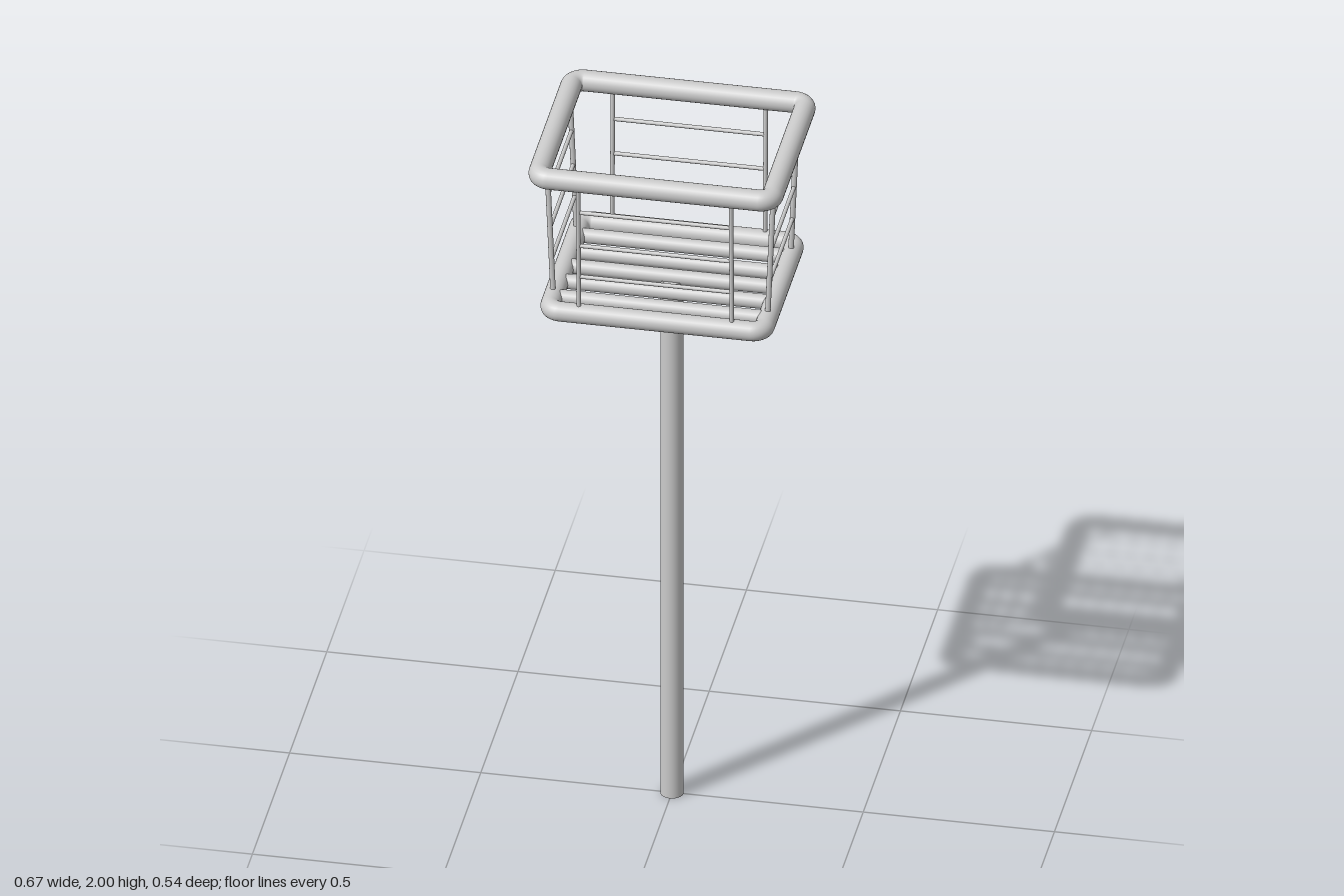
import * as THREE from 'three';

const material = new THREE.MeshStandardMaterial({ color: 0xcccccc });
const TOP = { x: 0.305, y: 1.972, z: 0.243, tube: 0.028 };
const BASE = { x: 0.28, y: 1.561, z: 0.222, tube: 0.026 };

function addMesh(parent, name, geometry) {
  const mesh = new THREE.Mesh(geometry, material);
  mesh.name = name;
  parent.add(mesh);
  return mesh;
}

// Straight round bar between two points
function addBar(parent, name, a, b, radius, sides = 12) {
  const dir = b.clone().sub(a);
  const bar = addMesh(parent, name, new THREE.CylinderGeometry(radius, radius, dir.length(), sides));
  bar.position.copy(a).add(b).multiplyScalar(0.5);
  bar.quaternion.setFromUnitVectors(new THREE.Vector3(0, 1, 0), dir.normalize());
  return bar;
}

// Round tube swept along a rectangle with rounded corners
function frameGeometry({ x, z, tube }) {
  const bend = 0.03, steps = 8, sides = 24;
  const positions = [], normals = [], index = [];
  const corners = [[1, 1], [-1, 1], [-1, -1], [1, -1]];
  corners.forEach(([sx, sz], c) => {
    for (let i = 0; i <= steps; i++) {
      const a = (c + i / steps) * Math.PI / 2;
      for (let j = 0; j <= sides; j++) {
        const t = j / sides * Math.PI * 2;
        const n = [Math.cos(a) * Math.cos(t), Math.sin(t), Math.sin(a) * Math.cos(t)];
        positions.push(
          sx * (x - bend) + bend * Math.cos(a) + tube * n[0],
          tube * n[1],
          sz * (z - bend) + bend * Math.sin(a) + tube * n[2]);
        normals.push(...n);
      }
    }
  });
  const rings = corners.length * (steps + 1), row = sides + 1;
  for (let i = 0; i < rings; i++) {
    for (let j = 0; j < sides; j++) {
      const a = i * row + j, b = ((i + 1) % rings) * row + j;
      index.push(a, a + 1, b, b, a + 1, b + 1);
    }
  }
  const geometry = new THREE.BufferGeometry();
  geometry.setAttribute('position', new THREE.Float32BufferAttribute(positions, 3));
  geometry.setAttribute('normal', new THREE.Float32BufferAttribute(normals, 3));
  geometry.setIndex(index);
  return geometry;
}

export function createModel() {
  const model = new THREE.Group();
  model.name = 'basketOnPole';

  // Supporting pole
  addMesh(model, 'pole', new THREE.CylinderGeometry(0.03, 0.03, 1.555, 32)).position.y = 0.7775;

  // Upper rim and base frame
  addMesh(model, 'topRim', frameGeometry(TOP)).position.y = TOP.y;
  addMesh(model, 'baseFrame', frameGeometry(BASE)).position.y = BASE.y;

  // Floor slats
  for (const z of [-0.152, -0.072, 0, 0.075, 0.152]) {
    addBar(model, 'floorSlat', new THREE.Vector3(-0.275, BASE.y, z), new THREE.Vector3(0.275, BASE.y, z), 0.0195, 24);
  }

  // Four leaning wire panels: two uprights and three rungs each
  const panels = [
    { name: 'frontPanel', turn: 0, half: 0.2, low: BASE.z, high: TOP.z - 0.008 },
    { name: 'leftPanel', turn: 1, half: 0.156, low: BASE.x, high: TOP.x - 0.008 },
    { name: 'backPanel', turn: 2, half: 0.2, low: BASE.z, high: TOP.z - 0.008 },
    { name: 'rightPanel', turn: 3, half: 0.156, low: BASE.x, high: TOP.x - 0.008 },
  ];
  for (const { name, turn, half, low, high } of panels) {
    const panel = new THREE.Group();
    panel.name = name;
    panel.rotation.y = turn * Math.PI / 2;
    const at = (x, y) => new THREE.Vector3(x, y,
      THREE.MathUtils.mapLinear(y, BASE.y, TOP.y, low, high));
    for (const side of [-1, 1]) {
      const post = addBar(panel, 'upright', at(side * half, BASE.y), at(side * half, TOP.y), 0.006);
      post.scale.z = 1.2;
    }
    for (const y of [1.675, 1.77, 1.872]) {
      addBar(panel, 'rung', at(-half, y), at(half, y), 0.0055);
    }
    model.add(panel);
  }
  return model;
}
